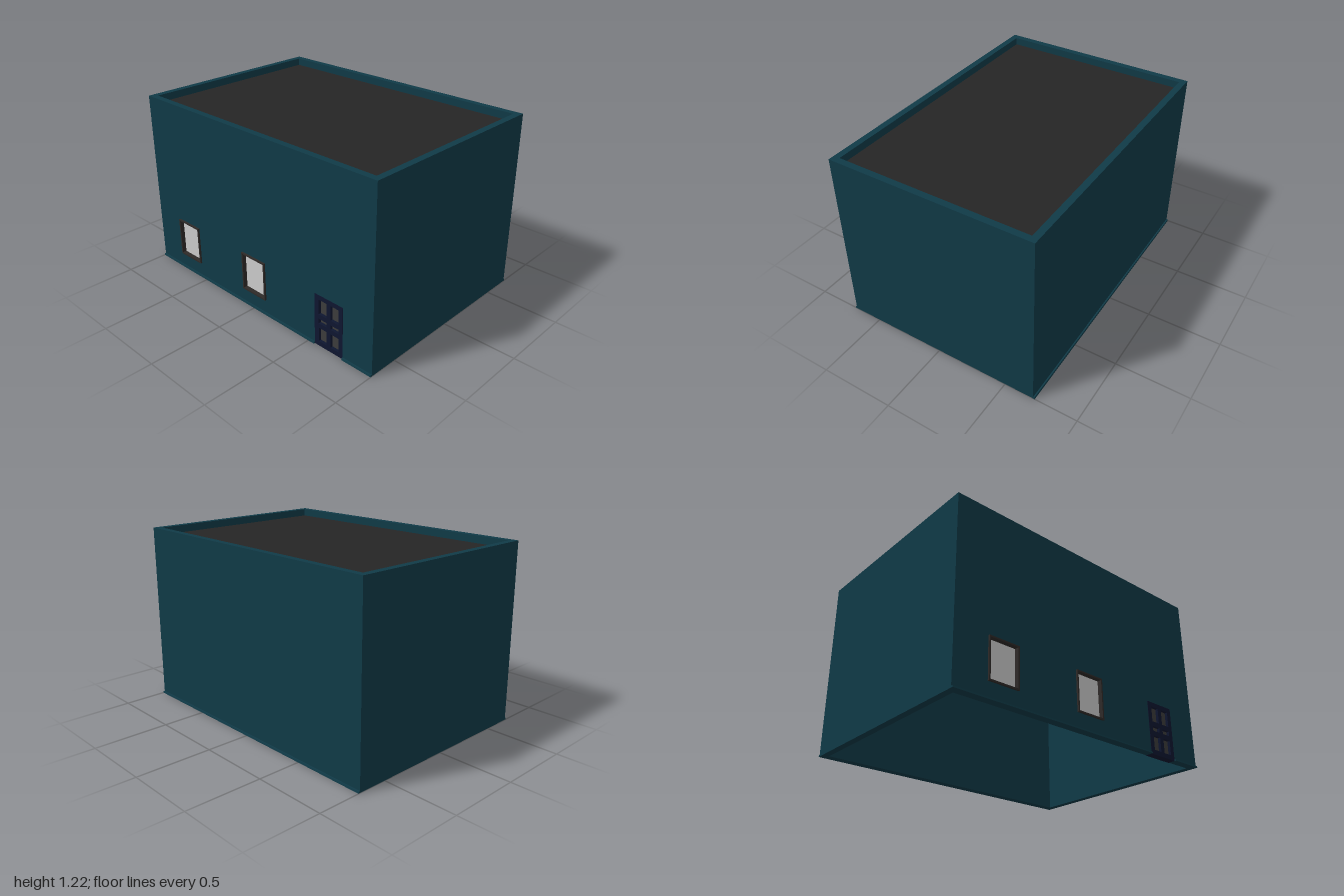
import * as THREE from 'three';

const W = 2, H = 1.22, D = 1.4, T = 0.044; // outer size and wall thickness
const mat = (color) => new THREE.MeshStandardMaterial({ color });

// Outline of a rectangle, usable as a shape or as a hole
function rect(x0, x1, y0, y1, Type = THREE.Shape) {
  const p = new Type();
  p.moveTo(x0, y0);
  p.lineTo(x1, y0);
  p.lineTo(x1, y1);
  p.lineTo(x0, y1);
  p.closePath();
  return p;
}

export function createModel() {
  const group = new THREE.Group();
  const teal = mat(0x103a47);
  const roofGrey = mat(0x252525);
  const trim = mat(0x2e2a28);
  const glass = mat(0xc4c4c4);
  const navy = mat(0x0e1630);
  const doorGlass = mat(0x3c3c3c);

  const add = (name, geometry, material, parent = group) => {
    const mesh = new THREE.Mesh(geometry, material);
    mesh.name = name;
    parent.add(mesh);
    return mesh;
  };
  const box = (name, x0, x1, y0, y1, z0, z1, material, parent) =>
    add(name, new THREE.BoxGeometry(x1 - x0, y1 - y0, z1 - z0), material, parent)
      .position.set((x0 + x1) / 2, (y0 + y1) / 2, (z0 + z1) / 2);
  const plate = (name, shape, z0, z1, material, parent) => {
    const g = new THREE.ExtrudeGeometry(shape, { depth: z1 - z0, bevelEnabled: false });
    return add(name, g.translate(0, 0, z0), material, parent);
  };

  const zOut = D / 2, zIn = zOut - T;
  const windows = [-0.66, 0.006].map((x) => ({ x0: x - 0.107, x1: x + 0.107, y0: 0.108, y1: 0.378 }));
  const door = { x0: 0.548, x1: 0.774, y1: 0.358 };

  // Front wall, notched for the door and pierced for the windows
  const front = new THREE.Shape();
  [[-1, 0], [door.x0, 0], [door.x0, door.y1], [door.x1, door.y1], [door.x1, 0], [1, 0], [1, H], [-1, H]]
    .forEach(([x, y], i) => (i ? front.lineTo(x, y) : front.moveTo(x, y)));
  windows.forEach((w) => front.holes.push(rect(w.x0, w.x1, w.y0, w.y1, THREE.Path)));
  plate('frontWall', front, zIn, zOut, teal);

  // Other walls, rising past the roof as a parapet
  box('backWall', -1, 1, 0, H, -zOut, -zIn, teal);
  box('leftWall', 1 - T, 1, 0, H, -zIn, zIn, teal);
  box('rightWall', -1, -1 + T, 0, H, -zIn, zIn, teal);

  // Flat roof sunk behind the parapet
  box('roof', -1 + T, 1 - T, H - 0.09, H - 0.05, -zIn, zIn, roofGrey);

  // Sloped base strips along front and back, leaving the doorway clear
  const skirting = (x0, x1, back) => {
    const s = new THREE.Shape();
    s.moveTo(0, 0);
    s.lineTo(0.012, 0);
    s.lineTo(0.009, 0.012);
    s.lineTo(0, 0.012);
    s.closePath();
    const g = new THREE.ExtrudeGeometry(s, { depth: x1 - x0, bevelEnabled: false });
    g.rotateY(-Math.PI / 2).translate(x1, 0, zOut);
    if (back) g.rotateY(Math.PI);
    add('skirting', g, teal);
  };
  skirting(-1, door.x0, false);
  skirting(door.x1, 1, false);
  skirting(-1, 1, true);

  // Windows: slim projecting frame with a recessed pane
  windows.forEach(({ x0, x1, y0, y1 }) => {
    const unit = new THREE.Group();
    unit.name = 'window';
    const f = 0.01;
    const frame = rect(x0, x1, y0, y1);
    frame.holes.push(rect(x0 + f, x1 - f, y0 + f, y1 - f, THREE.Path));
    plate('windowFrame', frame, zIn - 0.012, zOut + 0.012, trim, unit);
    box('windowPane', x0 + f, x1 - f, y0 + f, y1 - f, 0.673, 0.683, glass, unit);
    group.add(unit);
  });

  // Door: two columns and three rows of glazed openings
  const doorGroup = new THREE.Group();
  doorGroup.name = 'door';
  const leaf = rect(door.x0, door.x1, 0, door.y1);
  for (const [a, b] of [[0.582, 0.646], [0.678, 0.742]])
    for (const [c, d] of [[0.032, 0.129], [0.161, 0.193], [0.225, 0.327]])
      leaf.holes.push(rect(a, b, c, d, THREE.Path));
  plate('doorFrame', leaf, zIn - 0.005, zOut + 0.002, navy, doorGroup);
  box('doorGlass', door.x0 + 0.02, door.x1 - 0.02, 0.02, door.y1 - 0.02, 0.673, 0.683, doorGlass, doorGroup);
  group.add(doorGroup);

  return group;
}
